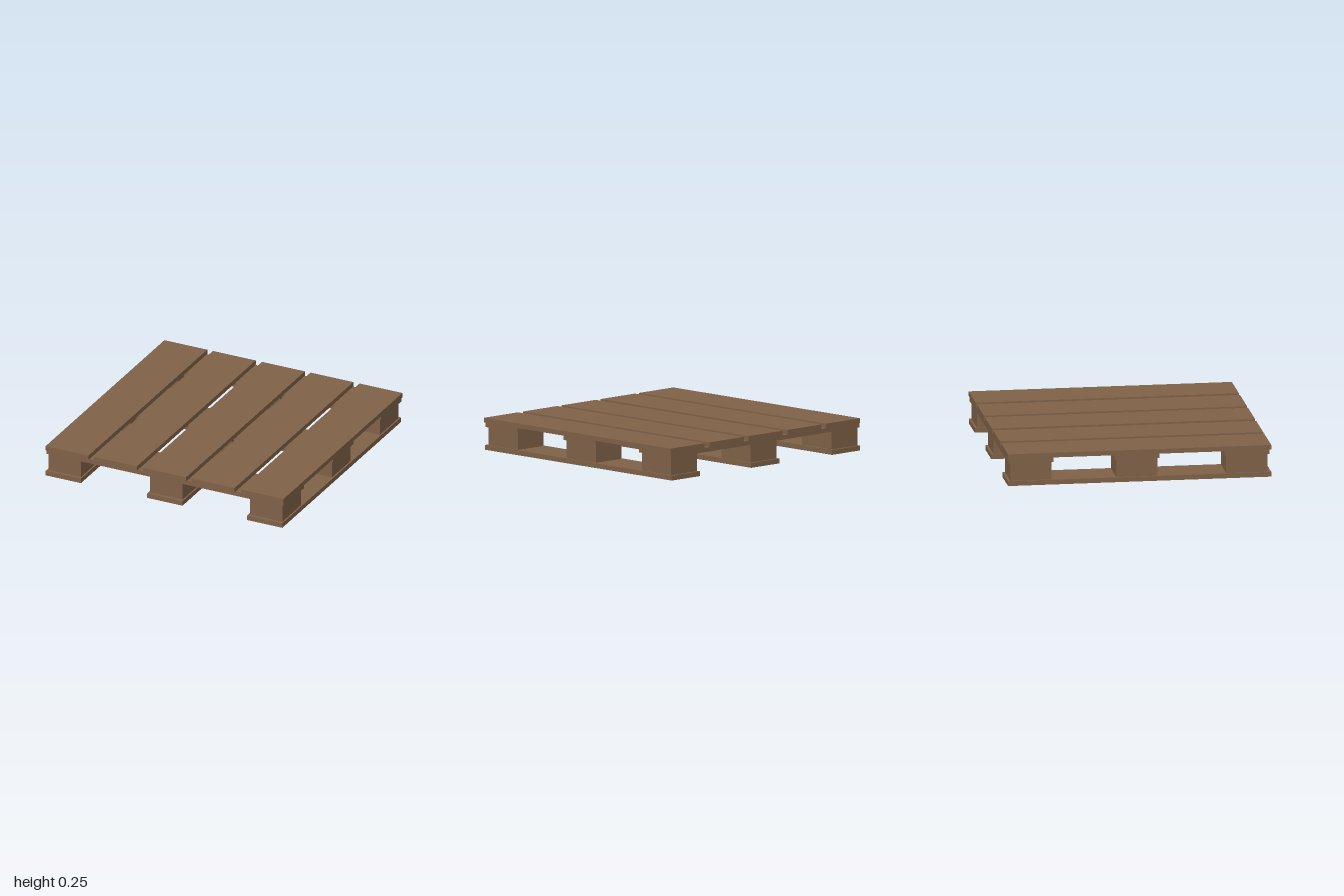
import * as THREE from 'three';

export function createModel() {
  const pallet = new THREE.Group();
  pallet.name = 'pallet';

  const wood = new THREE.MeshStandardMaterial({ color: 0x806248 });
  wood.name = 'brown wood';

  // Adds a box given its [min, max] range on each axis
  function addBox(name, [x0, x1], [y0, y1], [z0, z1]) {
    const mesh = new THREE.Mesh(new THREE.BoxGeometry(x1 - x0, y1 - y0, z1 - z0), wood);
    mesh.name = name;
    mesh.position.set((x0 + x1) / 2, (y0 + y1) / 2, (z0 + z1) / 2);
    pallet.add(mesh);
  }
  const around = (centre, size) => [centre - size / 2, centre + size / 2];

  // Heights of the four layers
  const bottomY = [0, 0.037];
  const blockY = [0.037, 0.175];
  const stringerY = [0.175, 0.209];
  const deckY = [0.209, 0.245];
  const fullDepth = [-1, 1];

  // Five deck boards running front to back
  [-0.82, -0.413, 0, 0.407, 0.819].forEach((x, i) =>
    addBox(`deckBoard${i + 1}`, around(x, 0.36), deckY, fullDepth));

  // Three cross boards under the deck
  const rows = [0.816, -0.019, -0.825];
  rows.forEach((z, i) =>
    addBox(`crossBoard${i + 1}`, [-1, 0.992], stringerY, around(z, 0.342)));

  // Three bottom runners, each carrying three blocks
  [-0.852, 0.001, 0.839].forEach((x, i) => {
    addBox(`bottomRunner${i + 1}`, around(x, 0.297), bottomY, fullDepth);
    rows.forEach((z, j) =>
      addBox(`block${i + 1}_${j + 1}`, around(x, 0.272), blockY, around(z, 0.314)));
  });

  return pallet;
}
